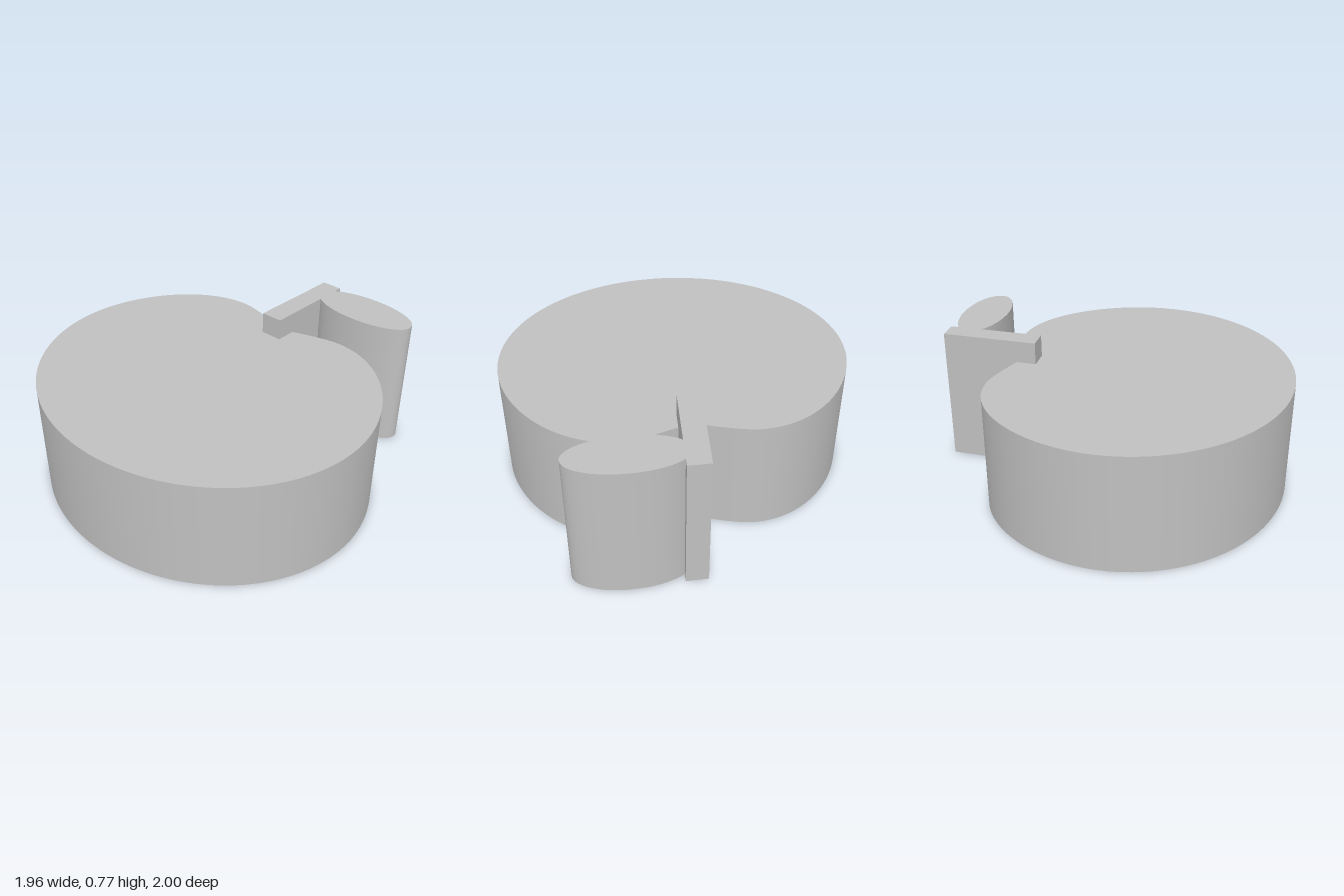
import * as THREE from 'three';
import { toCreasedNormals } from 'three/addons/utils/BufferGeometryUtils.js';

// Extrude a plan outline (shape y = -z) straight up from the ground.
function slab(name, shape, height, material) {
  const extruded = new THREE.ExtrudeGeometry(shape, { depth: height, bevelEnabled: false, curveSegments: 32 });
  extruded.rotateX(-Math.PI / 2);
  const mesh = new THREE.Mesh(toCreasedNormals(extruded, Math.PI / 7), material);
  mesh.name = name;
  return mesh;
}

export function createModel() {
  const group = new THREE.Group();
  group.name = 'fruitBlock';
  const grey = new THREE.MeshStandardMaterial({ color: 0xc0c0c0 });
  grey.name = 'grey';

  // Fruit outline: round base, two shoulders and a notch at the back
  const fruit = new THREE.Shape();
  fruit.moveTo(0, 0.53);
  fruit.bezierCurveTo(-0.1, 0.56, -0.25, 0.625, -0.36, 0.625);
  fruit.bezierCurveTo(-0.69, 0.625, -0.98, 0.25, -0.98, -0.12);
  fruit.absellipse(0, -0.12, 0.98, 0.88, Math.PI, Math.PI * 2, false, 0);
  fruit.bezierCurveTo(0.98, 0.25, 0.69, 0.625, 0.36, 0.625);
  fruit.bezierCurveTo(0.25, 0.625, 0.1, 0.56, 0, 0.53);

  // Slightly leaning stem
  const stem = new THREE.Shape([
    new THREE.Vector2(-0.065, 0.435),
    new THREE.Vector2(0.06, 0.435),
    new THREE.Vector2(0.09, 0.985),
    new THREE.Vector2(-0.03, 0.985),
  ]);

  // Oval leaf joined to the stem
  const leaf = new THREE.Shape();
  leaf.absellipse(0.35, 0.865, 0.31, 0.135, 0, Math.PI * 2, false, 0);

  group.add(
    slab('fruitBody', fruit, 0.65, grey),
    slab('stem', stem, 0.775, grey),
    slab('leaf', leaf, 0.775, grey)
  );
  return group;
}
